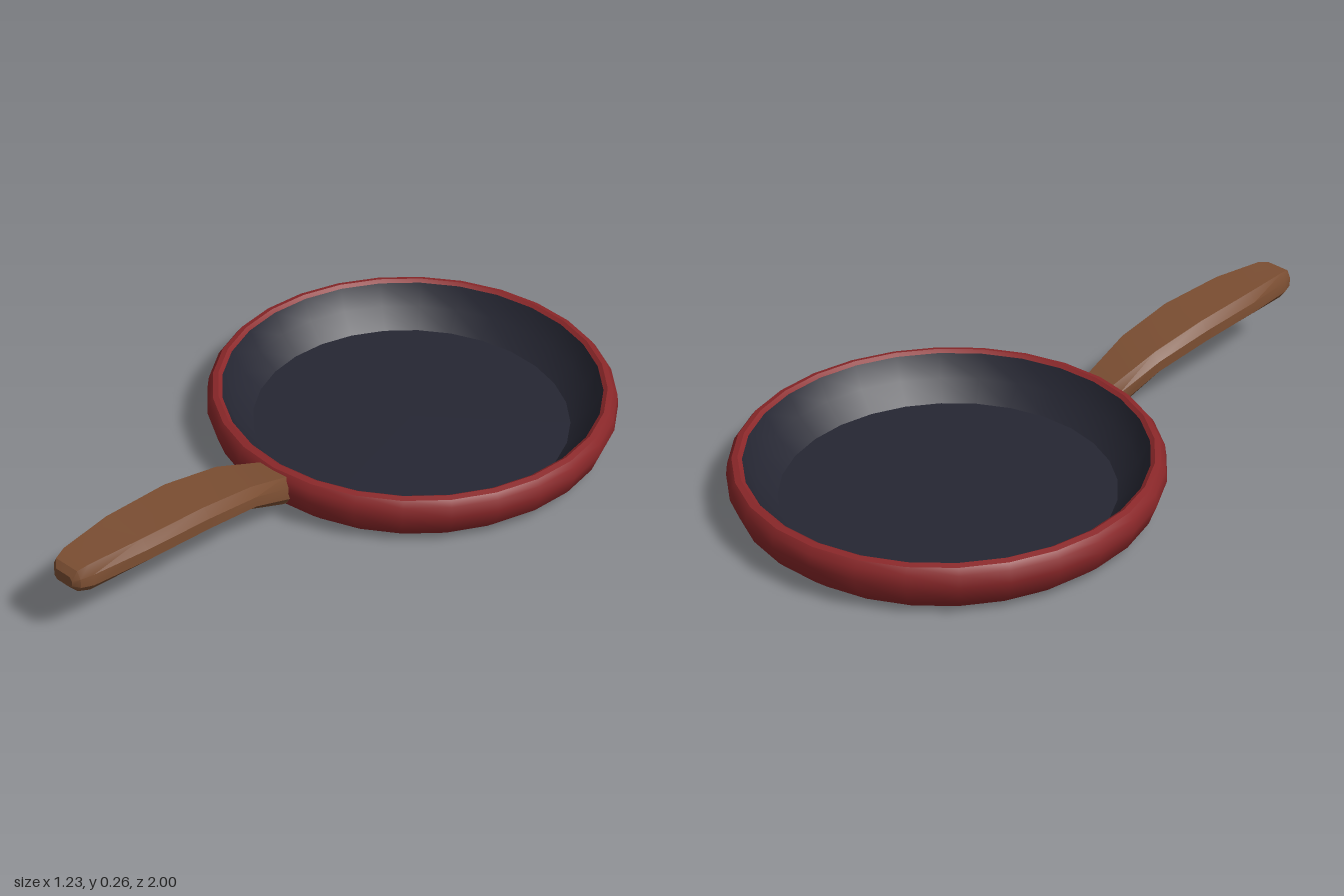
import * as THREE from 'three';
import { toCreasedNormals } from 'three/addons/utils/BufferGeometryUtils.js';

const enamel = new THREE.MeshStandardMaterial({ name: 'red enamel', color: 0x8a2729 });
const iron = new THREE.MeshStandardMaterial({ name: 'dark coating', color: 0x262733 });
const wood = new THREE.MeshStandardMaterial({ name: 'brown wood', color: 0x7b4e32 });

const PAN_Z = -0.385;

// Turned pan part from [radius, height] pairs
function turned(name, profile, material) {
  const points = profile.map(([r, y]) => new THREE.Vector2(r, y));
  const mesh = new THREE.Mesh(toCreasedNormals(new THREE.LatheGeometry(points, 28), 0.6), material);
  mesh.name = name;
  mesh.position.z = PAN_Z;
  return mesh;
}

// Handle lofted through chamfered cross-sections
function handleGeometry() {
  // z, bottom y, top y, half width
  const stations = [
    [0.18, 0.04, 0.13, 0.058], [0.22, 0.052, 0.148, 0.067], [0.37, 0.125, 0.205, 0.088],
    [0.56, 0.16, 0.243, 0.098], [0.78, 0.175, 0.26, 0.09], [0.95, 0.175, 0.261, 0.064],
    [0.985, 0.185, 0.253, 0.052], [1.0, 0.2, 0.235, 0.034],
  ];
  const outline = [[0.72, -1], [1, -0.45], [1, 0.35], [0.78, 1], [-0.78, 1], [-1, 0.35], [-1, -0.45], [-0.72, -1]];
  const n = outline.length;
  const positions = [];
  const index = [];
  for (const [z, low, high, w] of stations) {
    for (const [u, v] of outline) positions.push(u * w, (low + high) / 2 + v * (high - low) / 2, z);
  }
  for (let i = 0; i < stations.length - 1; i++) {
    for (let j = 0; j < n; j++) {
      const a = i * n + j;
      const b = i * n + (j + 1) % n;
      index.push(a, b, a + n, b, b + n, a + n);
    }
  }
  // End caps
  const last = (stations.length - 1) * n;
  for (let j = 1; j < n - 1; j++) {
    index.push(0, j + 1, j);
    index.push(last, last + j, last + j + 1);
  }
  const geometry = new THREE.BufferGeometry();
  geometry.setAttribute('position', new THREE.Float32BufferAttribute(positions, 3));
  geometry.setIndex(index);
  return toCreasedNormals(geometry, 0.6);
}

export function createModel() {
  const model = new THREE.Group();
  model.name = 'fryingPan';

  // Outer shell: base, flared wall and rolled rim
  model.add(turned('panShell', [
    [0, 0], [0.548, 0], [0.593, 0.04], [0.615, 0.1], [0.61, 0.135], [0.597, 0.152], [0.58, 0.156], [0.568, 0.148],
  ], enamel));

  // Cooking surface: sloped wall and flat floor
  model.add(turned('panInterior', [
    [0.568, 0.148], [0.535, 0.08], [0.478, 0.026], [0, 0.026],
  ], iron));

  const handle = new THREE.Mesh(handleGeometry(), wood);
  handle.name = 'handle';
  model.add(handle);
  return model;
}
